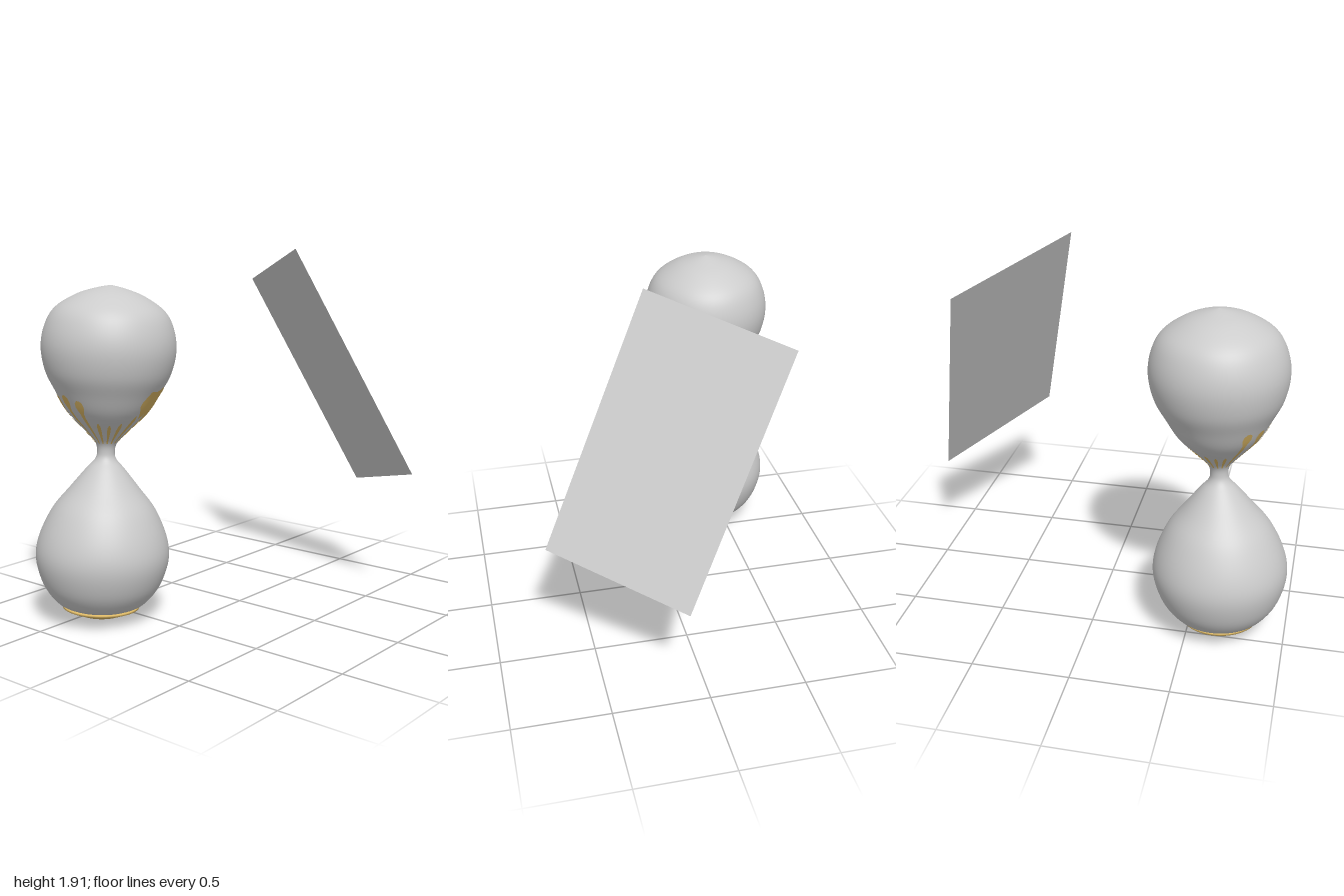
import * as THREE from 'three';
import { ParametricGeometry } from 'three/addons/geometries/ParametricGeometry.js';

const glassMat = new THREE.MeshStandardMaterial({ color: 0xcccccc, side: THREE.DoubleSide });
const sandMat = new THREE.MeshStandardMaterial({ color: 0xdcb866, side: THREE.DoubleSide });
const lerp = THREE.MathUtils.lerp;
const rad = THREE.MathUtils.degToRad;

// Glass silhouette: [radius, height]
const profile = new THREE.SplineCurve([
  [0, 0.015], [0.1, 0.045], [0.18, 0.075], [0.24, 0.11], [0.305, 0.2], [0.343, 0.33], [0.328, 0.45],
  [0.265, 0.59], [0.18, 0.7], [0.1, 0.8], [0.056, 0.85], [0.045, 0.89], [0.057, 0.94],
  [0.11, 1.0], [0.205, 1.1], [0.265, 1.2], [0.317, 1.3], [0.341, 1.42], [0.325, 1.53],
  [0.275, 1.62], [0.17, 1.69], [0.07, 1.725], [0, 1.74],
].map(([r, h]) => new THREE.Vector2(r, h))).getPoints(110);
for (const p of profile) p.x = Math.max(p.x, 0);

// Glass radius at a height
function radiusAt(h) {
  const i = Math.max(1, profile.findIndex((p) => p.y >= h));
  const a = profile[i - 1], b = profile[i];
  return lerp(a.x, b.x, (h - a.y) / (b.y - a.y));
}

// Piecewise linear lookup in [[t, value], ...]
function lookup(table, t) {
  for (let i = 1; i < table.length; i++) {
    const [t0, v0] = table[i - 1], [t1, v1] = table[i];
    if (t <= t1) return lerp(v0, v1, (t - t0) / (t1 - t0));
  }
  return table[table.length - 1][1];
}

// Thin sand layer lying on the glass; fn(u, v) gives [angle, height]
function sandLayer(name, fn, nu, nv) {
  const geo = new ParametricGeometry((u, v, target) => {
    const [a, h] = fn(u, v);
    const r = radiusAt(h) + 0.003;
    target.set(r * Math.cos(a), h, r * Math.sin(a));
  }, nu, nv);
  // Normals away from the axis, so both faces shade like the glass
  const pos = geo.attributes.position, normal = geo.attributes.normal;
  const index = geo.index;
  const a = new THREE.Vector3().fromBufferAttribute(pos, index.getX(0));
  const n = new THREE.Vector3().fromBufferAttribute(normal, index.getX(0));
  if (n.x * a.x + n.z * a.z < 0) {
    for (let i = 0; i < index.count; i += 3) {
      const t = index.getX(i);
      index.setX(i, index.getX(i + 1));
      index.setX(i + 1, t);
    }
    geo.computeVertexNormals();
  }
  const mesh = new THREE.Mesh(geo, sandMat);
  mesh.name = name;
  return mesh;
}

function createHourglass() {
  const group = new THREE.Group();
  group.name = 'hourglass';

  const glass = new THREE.Mesh(new THREE.LatheGeometry(profile, 64), glassMat);
  glass.name = 'glassBulbs';
  group.add(glass);

  // Shallow sand cone under the lower bulb
  const cone = [[0, 0], [0.05, 0.012], [0.12, 0.033], [0.2, 0.067], [0.198, 0.076], [0.17, 0.08]];
  const lowerSand = new THREE.Mesh(
    new THREE.LatheGeometry(cone.map(([r, h]) => new THREE.Vector2(r, h)), 48), sandMat);
  lowerSand.name = 'lowerSand';
  group.add(lowerSand);

  // Sand streaks rising from the neck, one every 20 degrees
  const tops = [1.1, 1.06, 1.05, 1.06, 1.175, 1.195, 1.185, 1.19, 1.03,
    1.03, 1.04, 1.06, 1.05, 1.08, 1.1, 1.12, 1.12, 1.12];
  const longWidth = [[0, 0.1], [0.7, 0.1], [0.85, 0.21], [0.96, 0.17], [1, 0.06]];
  const shortWidth = [[0, 0.1], [0.6, 0.14], [0.85, 0.12], [1, 0.02]];
  tops.forEach((top, i) => {
    const width = top > 1.15 ? longWidth : shortWidth;
    group.add(sandLayer('sandStreak', (u, v) => [
      rad(i * 20) + (u - 0.5) * lookup(width, v), lerp(0.94, top, v),
    ], 2, 20));
  });

  // Broad sand patch on the back right, with a ragged rim
  const upper = [[0, 1.09], [0.08, 1.14], [0.2, 1.13], [0.35, 1.16], [0.5, 1.2],
    [0.62, 1.225], [0.7, 1.245], [0.82, 1.225], [0.92, 1.23], [1, 1.17]];
  const lower = [[0, 1.08], [0.1, 1.06], [0.2, 1.1], [0.3, 1.06], [0.4, 1.1],
    [0.5, 1.06], [0.6, 1.1], [0.7, 1.06], [0.8, 1.11], [0.9, 1.08], [1, 1.15]];
  group.add(sandLayer('upperSandPatch', (u, v) => [
    rad(lerp(-98, 2, u)), lerp(lookup(lower, u), lookup(upper, u), v),
  ], 40, 8));

  // Slight lean
  group.position.set(-0.4035, 0, 0.665);
  group.quaternion.setFromUnitVectors(
    new THREE.Vector3(0, 1, 0), new THREE.Vector3(0.0257, 1, -0.046).normalize());
  return group;
}

// Flat tilted square floating behind
function createPanel() {
  const geo = new THREE.BufferGeometry();
  geo.setAttribute('position', new THREE.Float32BufferAttribute([
    -0.46, 1.72, -0.7, 0.11, 0.53, -1, 0.735, 0.715, -0.565, 0.17, 1.91, -0.26], 3));
  geo.setIndex([0, 1, 2, 0, 2, 3]);
  geo.computeVertexNormals();
  const panel = new THREE.Mesh(geo, glassMat);
  panel.name = 'panel';
  return panel;
}

export function createModel() {
  const model = new THREE.Group();
  model.name = 'hourglassWithPanel';
  model.add(createHourglass(), createPanel());
  return model;
}
